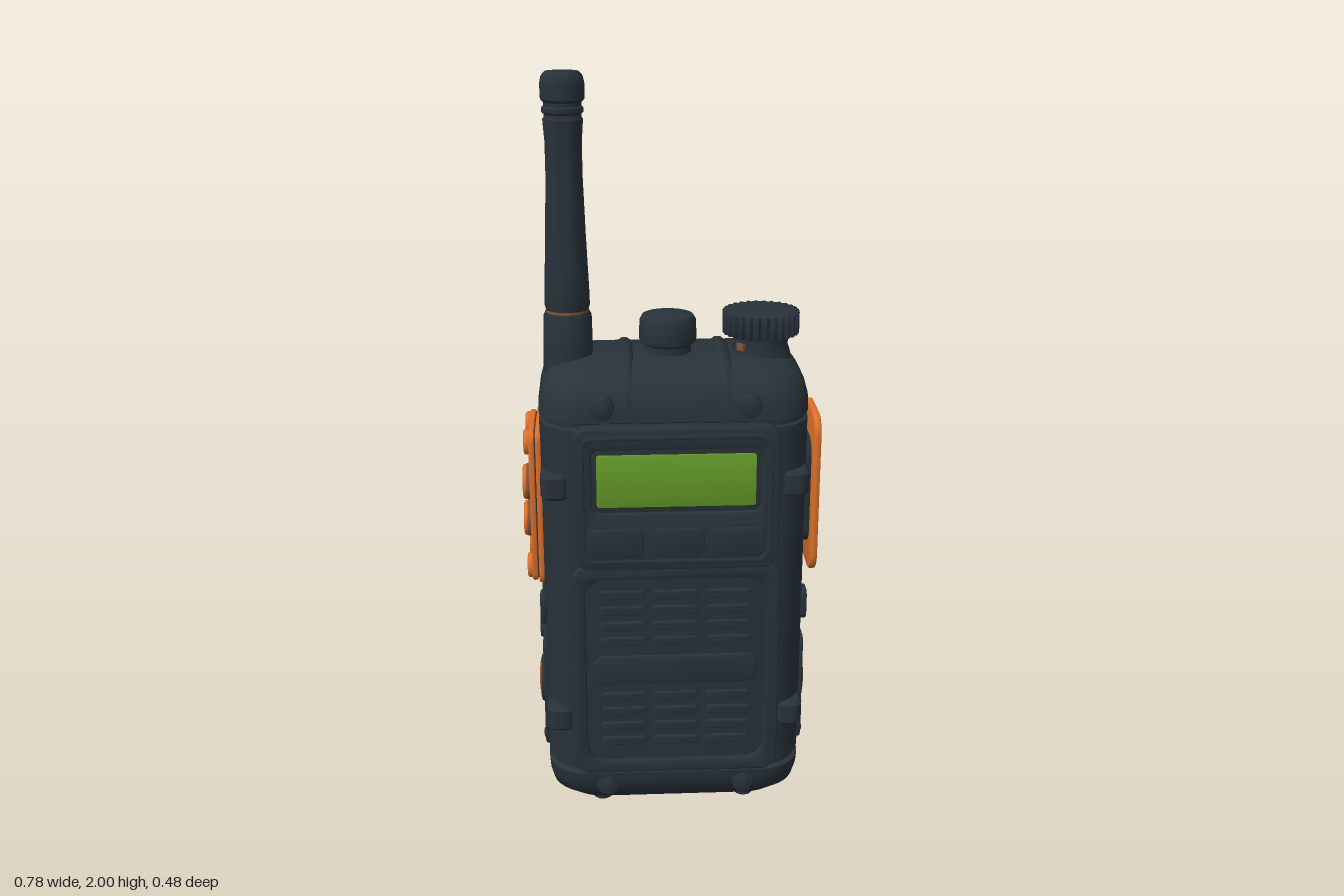
import * as THREE from 'three';
import { toCreasedNormals } from 'three/addons/utils/BufferGeometryUtils.js';

const flat = (name, color) => Object.assign(new THREE.MeshStandardMaterial({ color }), { name });
const CX = 0.007; // body centre

export function createModel() {
  const root = new THREE.Group();
  root.name = 'handheldRadio';
  const dark = flat('charcoal', 0x28323a);
  const orange = flat('orange', 0xdd702a);
  const amber = flat('amber', 0xb3622f);
  const brown = flat('dull brown', 0x85513a);
  const green = flat('display green', 0x659c28);

  const add = (name, geo, mat, x = 0, y = 0, z = 0, ry = 0) => {
    const m = new THREE.Mesh(geo, mat);
    m.name = name;
    m.position.set(x, y, z);
    m.rotation.y = ry;
    root.add(m);
    return m;
  };

  // rounded rectangle outline
  const rounded = (w, h, r, T = THREE.Shape, cy = 0) => {
    const s = new T(), a = w / 2 - r, b = h / 2 - r;
    s.absarc(a, cy + b, r, 0, Math.PI / 2);
    s.absarc(-a, cy + b, r, Math.PI / 2, Math.PI);
    s.absarc(-a, cy - b, r, Math.PI, Math.PI * 1.5);
    s.absarc(a, cy - b, r, Math.PI * 1.5, Math.PI * 2);
    s.closePath();
    return s;
  };
  // bevelled plate standing on z = 0, facing +z
  const slab = (shape, d, b = 0.006) => {
    const g = new THREE.ExtrudeGeometry(shape, {
      depth: d - 2 * b, bevelThickness: b, bevelSize: b, bevelOffset: -b, bevelSegments: 2, curveSegments: 6,
    });
    g.translate(0, 0, b);
    return toCreasedNormals(g, 0.7);
  };
  const plate = (w, h, d, r, b) => slab(rounded(w, h, r), d, b);
  const disc = (r, d, b) => slab(new THREE.Shape().absarc(0, 0, r, 0, Math.PI * 2), d, b);
  const lathe = (pts) => toCreasedNormals(
    new THREE.LatheGeometry(pts.map(([r, y]) => new THREE.Vector2(r, y)), 32), 0.7);

  // loft of rounded rectangles: [y, half width, half depth, corner radius]
  const loft = (rings, seg = 8) => {
    const pos = [], idx = [], n = 4 * (seg + 1);
    for (const [y, hx, hz, r] of rings) {
      [[1, 1], [-1, 1], [-1, -1], [1, -1]].forEach(([sx, sz], c) => {
        for (let i = 0; i <= seg; i++) {
          const a = (c + i / seg) * Math.PI / 2;
          pos.push(sx * (hx - r) + r * Math.cos(a), y, sz * (hz - r) + r * Math.sin(a));
        }
      });
    }
    const last = rings.length - 1, bot = n * rings.length, top = bot + 1;
    pos.push(0, rings[0][0], 0, 0, rings[last][0], 0);
    for (let i = 0; i < n; i++) {
      const k = (i + 1) % n;
      for (let j = 0; j < last; j++) {
        const a = j * n + i, b = j * n + k;
        idx.push(a, a + n, b, b, a + n, b + n);
      }
      idx.push(bot, i, k, top, last * n + k, last * n + i);
    }
    const g = new THREE.BufferGeometry();
    g.setAttribute('position', new THREE.Float32BufferAttribute(pos, 3));
    g.setIndex(idx);
    return toCreasedNormals(g, 0.6);
  };

  // housing with a seam above the base and below the shoulders
  add('housing', loft([
    [0.03, 0.27, 0.12, 0.1], [0.045, 0.308, 0.155, 0.11], [0.08, 0.337, 0.19, 0.11],
    [0.12, 0.345, 0.205, 0.11], [0.15, 0.347, 0.207, 0.11], [0.155, 0.338, 0.194, 0.105],
    [0.165, 0.338, 0.194, 0.105], [0.17, 0.347, 0.2, 0.11], [1.14, 0.347, 0.2, 0.11],
    [1.145, 0.339, 0.194, 0.105], [1.155, 0.339, 0.194, 0.105], [1.16, 0.347, 0.206, 0.11],
    [1.2, 0.346, 0.203, 0.115], [1.235, 0.337, 0.19, 0.115], [1.265, 0.318, 0.165, 0.115],
    [1.283, 0.29, 0.135, 0.11], [1.292, 0.25, 0.1, 0.09],
  ]), dark, CX, 0, -0.006);

  // low ridges over the shoulders
  for (const x of [-0.115, 0.135]) {
    const path = new THREE.CatmullRomCurve3(
      [[1.195, -0.19], [1.235, -0.175], [1.268, -0.135], [1.279, -0.07], [1.279, 0.07], [1.268, 0.12], [1.235, 0.16], [1.195, 0.176]]
        .map(([y, z]) => new THREE.Vector3(x, y, z)));
    add('shoulderRidge', new THREE.TubeGeometry(path, 32, 0.023, 10), dark);
  }
  add('indicatorSlot', new THREE.BoxGeometry(0.037, 0.03, 0.058), dark, 0.055, 1.252, -0.172);
  add('indicatorLight', new THREE.BoxGeometry(0.028, 0.024, 0.004), amber, 0.055, 1.253, -0.202);

  // antenna
  add('antennaBase', lathe([[0.066, 1.2], [0.064, 1.3], [0.062, 1.392], [0.056, 1.404], [0, 1.404]]), dark, -0.262, 0, 0.006);
  add('antennaRing', new THREE.CylinderGeometry(0.057, 0.057, 0.007, 24, 1, true, -1.2, 2.4), brown, -0.262, 1.407, 0.007);
  add('antenna', lathe([
    [0.054, 1.403], [0.055, 1.41], [0.058, 1.42], [0.057, 1.46], [0.051, 1.6], [0.046, 1.75], [0.046, 1.83], [0.05, 1.885],
    [0.046, 1.89], [0.046, 1.897], [0.052, 1.902], [0.052, 1.912], [0.047, 1.917], [0.047, 1.925],
    [0.054, 1.932], [0.055, 1.97], [0.051, 1.988], [0.042, 1.998], [0, 2],
  ]), dark, -0.262, 0, 0.007);

  // plain knob and toothed dial
  add('centreKnob', lathe([
    [0.062, 1.27], [0.06, 1.31], [0.073, 1.318], [0.075, 1.33], [0.073, 1.375], [0.066, 1.387], [0.05, 1.391], [0, 1.391],
  ]), dark, -0.004, 0, -0.003);
  add('dialNeck', lathe([[0.085, 1.22], [0.077, 1.29], [0.07, 1.31], [0.075, 1.345]]), dark, 0.238);
  add('dialMark', new THREE.BoxGeometry(0.024, 0.018, 0.008), brown, 0.182, 1.311, 0.047, -0.87);
  const teeth = new THREE.Shape(), N = 28;
  for (let i = 0; i < N * 4; i++) {
    const a = i / (N * 4) * Math.PI * 2, r = i % 4 < 2 ? 0.1 : 0.09;
    teeth[i ? 'lineTo' : 'moveTo'](r * Math.cos(a), r * Math.sin(a));
  }
  add('toothedDial', slab(teeth, 0.062, 0.005), dark, 0.238, 1.336, -0.003).rotation.x = -Math.PI / 2;

  // display frame, screen and keys
  const frame = rounded(0.525, 0.385, 0.04);
  frame.holes.push(rounded(0.43, 0.17, 0.02, THREE.Path, 0.05));
  add('displayFrame', slab(frame, 0.045), dark, CX, 0.963, 0.187);
  add('displayBezel', plate(0.45, 0.2, 0.033, 0.02), dark, CX, 1.013, 0.187);
  add('displayScreen', plate(0.405, 0.14, 0.006, 0.008, 0.001), green, CX, 1.013, 0.219);
  const rim = rounded(0.49, 0.35, 0.035);
  rim.holes.push(rounded(0.465, 0.325, 0.03, THREE.Path));
  add('displayRim', slab(rim, 0.008, 0.003), dark, CX, 0.963, 0.229);
  for (const x of [-0.155, 0, 0.155])
    add('frontKey', plate(0.142, 0.08, 0.01, 0.022, 0.004), dark, CX + x, 0.847, 0.229);

  // speaker surround and grille
  const surround = rounded(0.55, 0.615, 0.045);
  surround.holes.push(rounded(0.475, 0.54, 0.05, THREE.Path));
  add('speakerSurround', slab(surround, 0.025, 0.007), dark, CX, 0.463, 0.186);
  add('speakerBand', plate(0.44, 0.085, 0.012, 0.03), dark, CX, 0.465, 0.19);
  for (const y of [0.685, 0.64, 0.595, 0.55, 0.385, 0.34, 0.295, 0.25])
    for (const x of [-0.14, 0, 0.14])
      add('grilleBar', plate(0.122, 0.026, 0.013, 0.012, 0.005), dark, CX + x, y, 0.19);

  // ribbed back cover in two panels
  add('backCoverLower', plate(0.56, 0.675, 0.022, 0.03), dark, CX, 0.5, -0.199, Math.PI);
  add('backCoverUpper', plate(0.56, 0.295, 0.022, 0.03), dark, CX, 0.993, -0.199, Math.PI);
  for (let i = 0; i < 11; i++) {
    const s = i % 2 ? 0.02 : -0.02;
    add('backRib', plate(0.42, 0.042, 0.01, 0.014, 0.004), dark, CX + s, 0.225 + i * 0.083 + (i > 7 ? 0.015 : 0), -0.217, Math.PI);
  }

  // screws on both faces
  for (const x of [-0.185, 0.185])
    for (const [y, front, back] of [[0.11, 0.204, -0.22], [1.205, 0.228, -0.23]])
      for (const z of [front, back]) {
        const ry = z > 0 ? 0 : Math.PI, s = Math.sign(z);
        add('screwBoss', disc(0.03, 0.035), dark, CX + x, y, z - s * 0.035, ry);
        add('screwHead', disc(0.018, 0.01, 0.003), dark, CX + x, y, z - s * 0.003, ry);
      }

  // feet
  for (const x of [-0.2, 0.2])
    for (const z of [0.07, -0.09])
      add('foot', new THREE.CylinderGeometry(0.03, 0.026, 0.05, 16), dark, CX + x, 0.025, z);

  // details repeated on both sides
  for (const s of [1, -1]) {
    const ry = s * Math.PI / 2, sx = (d) => CX + s * d;
    add('lampPlate', plate(0.22, 0.32, 0.014, 0.025, 0.004), dark, sx(0.342), 0.34, -0.01, ry);
    add('lampHolder', disc(0.066, 0.018, 0.004), dark, sx(0.348), 0.335, -0.014, ry);
    // domed lamp with a brighter front half
    for (const [name, mat, start] of [['lampFrontHalf', amber, 0], ['lampRearHalf', brown, Math.PI]])
      add(name, new THREE.SphereGeometry(0.063, 16, 12, start, Math.PI), mat, sx(0.363), 0.335, -0.014).scale.x = 0.15;
    add('lampScrew', disc(0.027, 0.018, 0.004), dark, sx(0.35), 0.463, -0.072, ry);
    for (const z of [-0.095, 0.075])
      add('plateRivet', disc(0.014, 0.01, 0.003), dark, sx(0.35), 0.21, z, ry);
    add('sideGrip', plate(0.2, 0.05, 0.014, 0.02, 0.004), dark, sx(0.341), 0.605, 0, ry);
    for (const z of [-0.088, 0.088])
      add('sideGripEnd', plate(0.06, 0.09, 0.018, 0.022, 0.005), dark, sx(0.341), 0.605, z, ry);
    // rounded clips wrapping the corners
    for (const y of [0.95, 0.28])
      for (const [x, z, hx, hz, r] of [[0.308, 0.145, 0.038, 0.05, 0.03], [0.295, -0.158, 0.05, 0.055, 0.048]])
        add('cornerClip', loft([
          [0, hx - 0.008, hz - 0.008, r - 0.008], [0.008, hx, hz, r], [0.06, hx, hz, r], [0.068, hx - 0.008, hz - 0.008, r - 0.008],
        ], 5), dark, sx(x), y, z);
  }

  // push bar on the left side
  add('pushBarSeat', plate(0.15, 0.3, 0.03, 0.05), dark, CX + 0.34, 0.91, -0.005, Math.PI / 2);
  add('pushBar', plate(0.217, 0.447, 0.02, 0.055, 0.007), orange, 0.372, 0.912, -0.005, Math.PI / 2);

  // layered keypad on the right side
  add('keypadBase', plate(0.236, 0.435, 0.016, 0.03, 0.004), orange, -0.336, 0.892, -0.012, -Math.PI / 2);
  add('keypadGap', plate(0.215, 0.415, 0.01, 0.03, 0.002), dark, -0.347, 0.892, -0.012, -Math.PI / 2);
  add('keypadFace', plate(0.226, 0.425, 0.015, 0.03, 0.005), orange, -0.355, 0.892, -0.012, -Math.PI / 2);
  for (const y of [0.825, 0.93]) {
    add('keypadButtonCollar', disc(0.05, 0.02, 0.003), brown, -0.362, y, -0.01, -Math.PI / 2);
    add('keypadButton', disc(0.048, 0.016, 0.007), orange, -0.376, y, -0.01, -Math.PI / 2);
  }
  add('keypadTopKey', plate(0.06, 0.04, 0.009, 0.015, 0.003), dark, -0.364, 1.035, -0.01, -Math.PI / 2);
  for (const y of [0.718, 1.068])
    for (const z of [-0.085, 0.062])
      add('keypadCornerStud', disc(0.034, 0.021, 0.006), orange, -0.362, y, z, -Math.PI / 2);

  return root;
}
